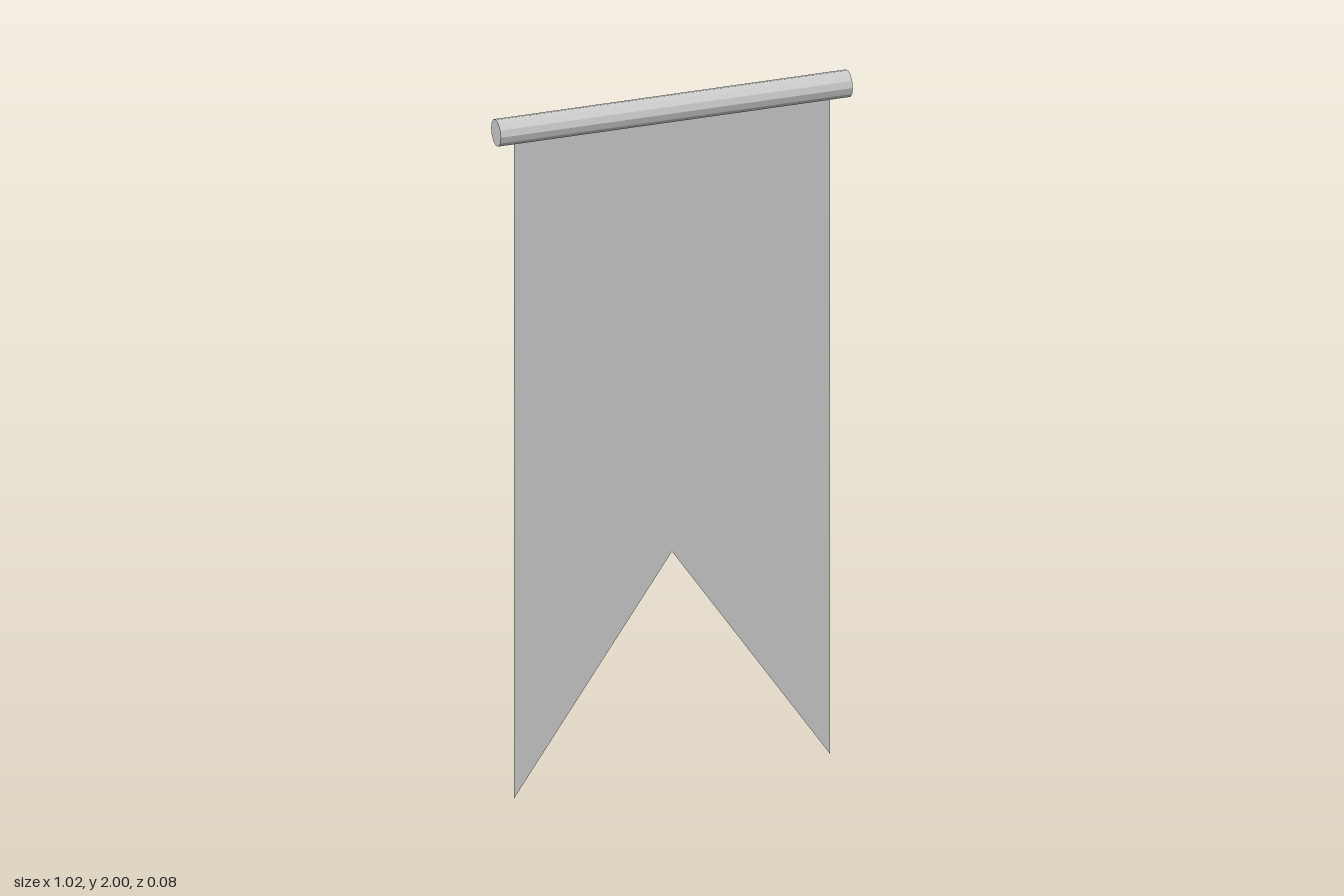
import * as THREE from 'three';

export function createModel() {
  const group = new THREE.Group();

  // Horizontal twelve-sided pole carrying the banner
  const radius = 0.038;
  const pole = new THREE.Mesh(
    new THREE.CylinderGeometry(radius, radius, 1.02, 12),
    new THREE.MeshStandardMaterial({ color: 0xcccccc, flatShading: true })
  );
  pole.name = 'pole';
  pole.rotation.z = Math.PI / 2;
  pole.position.y = 2 - radius;
  group.add(pole);

  // Thin swallow-tailed cloth, its top edge tucked into the pole
  const half = 0.458;
  const outline = new THREE.Shape([
    new THREE.Vector2(-half, 0),
    new THREE.Vector2(0, 0.66),
    new THREE.Vector2(half, 0),
    new THREE.Vector2(half, 2 - radius),
    new THREE.Vector2(-half, 2 - radius),
  ]);
  const cloth = new THREE.Mesh(
    new THREE.ShapeGeometry(outline),
    new THREE.MeshStandardMaterial({ color: 0xcccccc, side: THREE.DoubleSide })
  );
  cloth.name = 'bannerCloth';
  group.add(cloth);

  return group;
}
